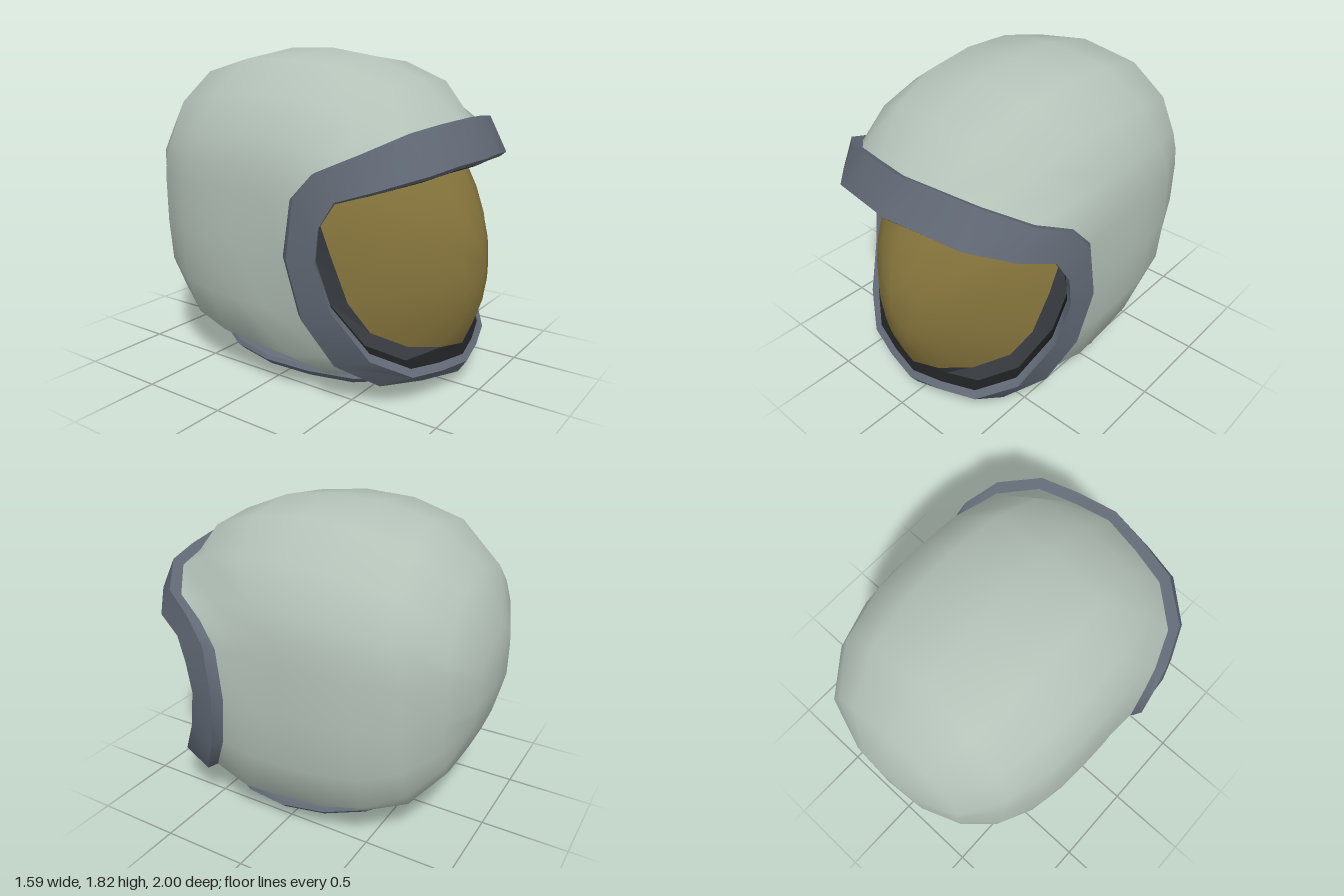
import * as THREE from 'three';
import { toCreasedNormals } from 'three/addons/utils/BufferGeometryUtils.js';

const V = (x, y, z) => new THREE.Vector3(x, y, z);

// Closed loop from a half path (top to bottom on +x), mirrored to -x
function mirrorLoop(half) {
  const pts = half.map(p => V(...p));
  const other = pts.slice(1, -1).reverse().map(p => V(-p.x, p.y, p.z));
  return [...pts, ...other];
}

// Skin closed loops of equal length; a single-point loop makes a pole
function loft(rings) {
  const pos = [], idx = [], start = [];
  for (const r of rings) {
    start.push(pos.length / 3);
    r.forEach(p => pos.push(p.x, p.y, p.z));
  }
  for (let i = 0; i < rings.length - 1; i++) {
    const n = Math.max(rings[i].length, rings[i + 1].length);
    const at = (k, j) => start[k] + (j % n) % rings[k].length;
    for (let j = 0; j < n; j++) {
      const a = at(i, j), b = at(i, j + 1), c = at(i + 1, j + 1), d = at(i + 1, j);
      if (a !== b) idx.push(a, b, c);
      if (c !== d) idx.push(a, c, d);
    }
  }
  const g = new THREE.BufferGeometry();
  g.setAttribute('position', new THREE.Float32BufferAttribute(pos, 3));
  g.setIndex(idx);
  g.computeVertexNormals();
  return g;
}

// Scale a loop in the front plane around the face centre and shift it in z
const inset = (loop, s, dz, cy = 0.8) =>
  loop.map(p => V(p.x * s, cy + (p.y - cy) * s, p.z + dz));

// Face frame: outer edge, front ridge, and the edges derived from them
const outerEdge = mirrorLoop([
  [0, 1.485, 0.88], [0.24, 1.47, 0.84], [0.46, 1.445, 0.79], [0.67, 1.355, 0.64], [0.755, 1.265, 0.45],
  [0.785, 1.13, 0.34], [0.795, 0.82, 0.3], [0.75, 0.5, 0.36], [0.65, 0.25, 0.49], [0.48, 0.12, 0.66],
  [0.25, 0.095, 0.78], [0, 0.075, 0.87],
]);
const ridge = mirrorLoop([
  [0, 1.28, 0.98], [0.23, 1.272, 0.945], [0.45, 1.25, 0.9], [0.66, 1.19, 0.73], [0.74, 1.13, 0.55],
  [0.77, 1.0, 0.48], [0.765, 0.82, 0.455], [0.725, 0.57, 0.52], [0.61, 0.31, 0.68], [0.42, 0.19, 0.82],
  [0.21, 0.165, 0.88], [0, 0.15, 0.92],
]);
const backEdge = inset(outerEdge, 0.95, -0.05);
const bevelEdge = inset(ridge, 0.945, -0.025);
const recessEdge = inset(ridge, 0.9, -0.07);

// Side silhouette of the shell as [z, y], counted around its centre
const CY = 0.9, HALF_WIDTH = 0.745;
const silhouette = [
  [1, 0.9], [0.84, 1.46], [0.62, 1.655], [0.25, 1.805], [-0.18, 1.835], [-0.57, 1.765], [-0.86, 1.585],
  [-1, 1.24], [-0.995, 0.87], [-0.91, 0.53], [-0.77, 0.28], [-0.62, 0.17], [-0.3, 0.04], [0.3, -0.02],
  [0.7, 0.02], [0.85, 0.1],
].map(([z, y]) => {
  const a = Math.atan2(y - CY, z);
  return { a: a < 0 ? a + 2 * Math.PI : a, r: Math.hypot(z, y - CY) };
});
silhouette.push({ a: 2 * Math.PI, r: silhouette[0].r });

// Distance to the straight silhouette edge in a given direction
function silhouetteRadius(dz, dy) {
  let a = Math.atan2(dy, dz);
  if (a < 0) a += 2 * Math.PI;
  const i = Math.max(1, silhouette.findIndex(s => a <= s.a));
  const p = silhouette[i - 1], q = silhouette[i];
  return p.r * q.r * Math.sin(q.a - p.a) / (p.r * Math.sin(a - p.a) + q.r * Math.sin(q.a - a));
}

// Height of the neck ring along z
const neckY = z => 0.14 - 0.05 * z - 0.13 * Math.max(0, z - 0.2);

// Point on the rounded shell in a direction from its centre
function shellPoint(d) {
  const n = 2.8 + 0.8 * Math.max(0, -d.y);
  const side = Math.abs(d.x) / HALF_WIDTH;
  const mid = Math.hypot(d.y, d.z) / silhouetteRadius(d.z, d.y);
  const t = Math.pow(side ** n + mid ** n, -1 / n);
  const z = d.z * t;
  return V(d.x * t, Math.max(CY + d.y * t, neckY(z) + 0.01), z);
}

// Shell: meridians run from the face frame to the back pole
function shellGeometry() {
  const rings = [backEdge], steps = 8;
  for (let i = 1; i < steps; i++) {
    rings.push(backEdge.map(p => {
      const d = V(p.x, p.y - CY, p.z).normalize();
      const axis = V(0, 0, -1).cross(d).normalize();
      const angle = Math.acos(-d.z) * (1 - i / steps);
      return shellPoint(V(0, 0, -1).applyAxisAngle(axis, angle));
    }));
  }
  rings.push([V(0, CY, -1)]);
  return loft(rings);
}

// Visor: outline scaled inwards and domed forwards
const dome = p => V(p.x, p.y, 1 - 0.55 * (p.y - 0.7) ** 2 - 1.23 * Math.abs(p.x) ** 1.7);
const visorOutline = mirrorLoop([
  [0, 1.228, 0], [0.2, 1.224, 0], [0.37, 1.215, 0], [0.56, 1.175, 0], [0.61, 1.12, 0],
  [0.635, 1.02, 0], [0.62, 0.82, 0], [0.57, 0.57, 0], [0.48, 0.4, 0], [0.32, 0.3, 0],
  [0.16, 0.272, 0], [0, 0.25, 0],
]);
const visorLoop = s => inset(visorOutline, s, 0, 0.72).map(dome);

// Neck loop at a given scale and height offset
function neckLoop(scale, dy) {
  return Array.from({ length: 16 }, (_, i) => {
    const a = (i / 16) * Math.PI * 2;
    const z = Math.cos(a) * 0.65;
    return V(Math.sin(a) * 0.59 * scale, neckY(z) + dy, z * scale);
  });
}

export function createModel() {
  const group = new THREE.Group();
  const add = (name, geometry, color, doubleSided = false) => {
    const material = new THREE.MeshStandardMaterial({ color });
    if (doubleSided) material.side = THREE.DoubleSide;
    const mesh = new THREE.Mesh(geometry, material);
    mesh.name = name;
    group.add(mesh);
  };
  const shellColor = 0xb4c2b8, frameColor = 0x626a76;

  add('helmetShell', shellGeometry(), shellColor, true);

  // Face opening: frame, dark recess, gasket and visor
  add('faceFrame', toCreasedNormals(loft([bevelEdge, ridge, outerEdge, backEdge]), 0.6), frameColor);
  add('frameRecess', toCreasedNormals(loft([recessEdge, bevelEdge]), 0.6), 0x1c1e20, true);
  add('visorGasket', toCreasedNormals(loft([visorLoop(1), recessEdge]), 0.6), 0x35393e, true);
  add('visor', loft([[dome(V(0, 0.72, 0))], ...[0.25, 0.5, 0.75, 1].map(visorLoop)]), 0x85743c);

  // Neck: outer ring, pale inner lip and dark opening
  add('neckRing', toCreasedNormals(loft([
    neckLoop(0.89, -0.045), neckLoop(0.95, -0.04), neckLoop(1.02, 0), neckLoop(1, 0.02), neckLoop(0.86, 0.05),
  ]), 0.6), frameColor);
  add('neckLip', loft([neckLoop(0.85, -0.045), neckLoop(0.89, -0.045)]), shellColor);
  add('neckOpening', loft([[V(0, 0.06, 0)], neckLoop(0.85, -0.045)]), 0x060606);
  return group;
}
